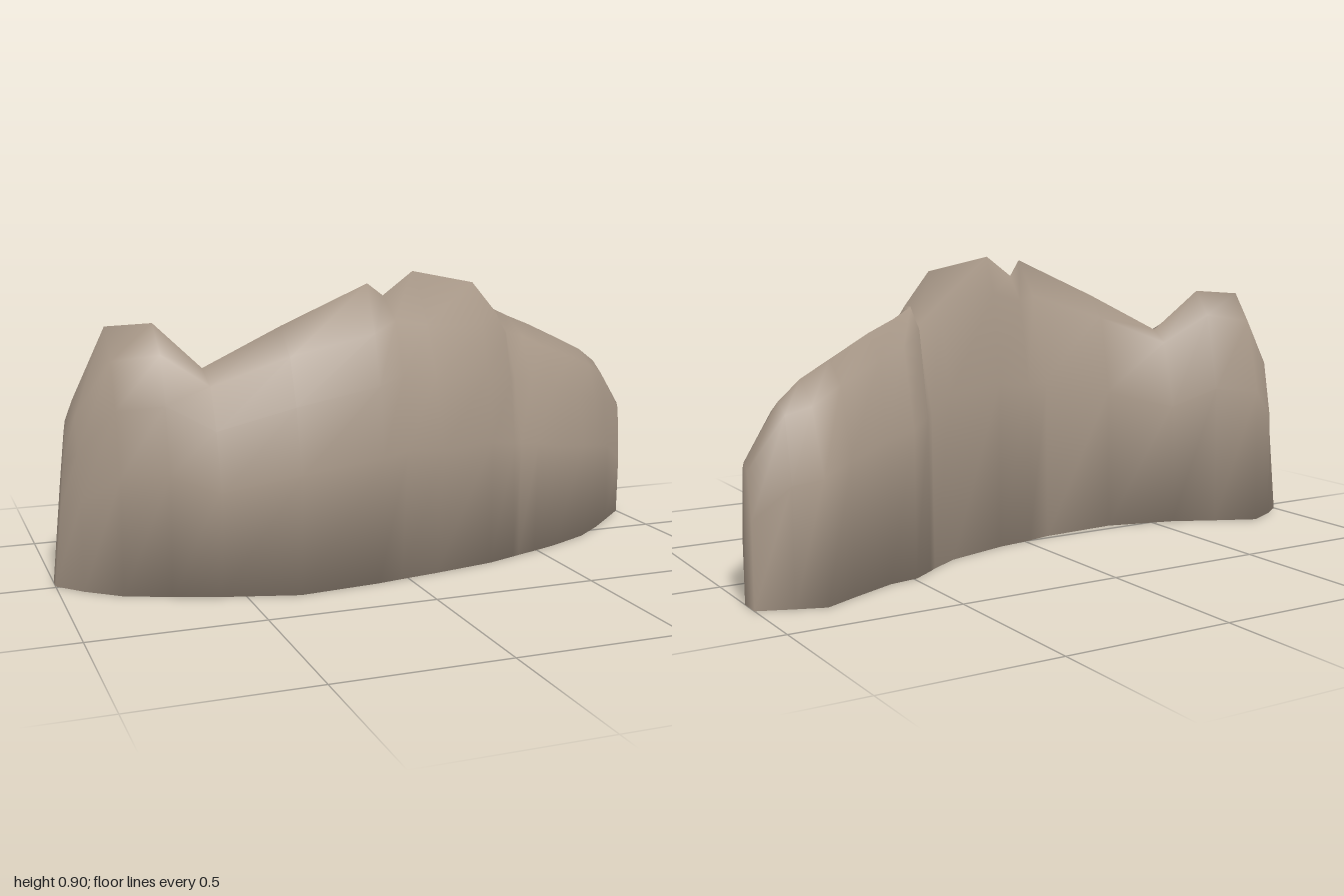
import * as THREE from 'three';

// Stations along the wall:
// x, front foot z, front belly z, back z, ridge y, ridge z, front shoulder y, back shoulder y
const STATIONS = [
  [-1.0, -0.01, -0.01, -0.05, 0.49, -0.03, 0.45, 0.45],
  [-0.93, 0.07, 0.07, -0.10, 0.55, -0.02, 0.51, 0.52],
  [-0.83, 0.155, 0.16, -0.15, 0.76, -0.02, 0.67, 0.67],
  [-0.70, 0.21, 0.225, -0.09, 0.77, 0.03, 0.69, 0.69],
  [-0.57, 0.26, 0.285, -0.025, 0.64, 0.09, 0.60, 0.60],
  [-0.35, 0.325, 0.335, 0.035, 0.76, 0.15, 0.68, 0.69],
  [-0.10, 0.30, 0.335, 0.02, 0.88, 0.20, 0.74, 0.77],
  [-0.02, 0.285, 0.325, 0.00, 0.835, 0.12, 0.77, 0.76],
  [0.10, 0.265, 0.31, -0.02, 0.90, 0.06, 0.75, 0.79],
  [0.30, 0.225, 0.225, -0.08, 0.86, 0.065, 0.74, 0.77],
  [0.395, 0.19, 0.185, -0.14, 0.76, 0.04, 0.70, 0.71],
  [0.42, 0.18, 0.18, -0.16, 0.765, -0.05, 0.70, 0.70],
  [0.49, 0.155, 0.16, -0.21, 0.735, -0.08, 0.68, 0.66],
  [0.58, 0.12, 0.135, -0.225, 0.70, -0.10, 0.64, 0.63],
  [0.72, 0.05, 0.045, -0.29, 0.64, -0.15, 0.59, 0.575],
  [0.82, -0.03, -0.03, -0.34, 0.595, -0.18, 0.55, 0.53],
  [0.90, -0.105, -0.11, -0.31, 0.545, -0.22, 0.51, 0.51],
  [1.0, -0.20, -0.20, -0.27, 0.39, -0.22, 0.37, 0.37],
];

// Cross-section from the front foot, over the ridge, to the back foot
function section([x, foot, zf, zb, ry, rz, fy, by]) {
  const mix = THREE.MathUtils.lerp;
  const lean = x < -0.99 ? 0.1 : 0; // left end slopes inward
  return [
    [foot, 0],
    [zf + 0.005, 0.52 * fy],
    [mix(zf, rz, 0.2), 0.8 * fy],
    [mix(zf, rz, 0.5), fy],
    [rz, ry],
    [mix(zb, rz, 0.5), by],
    [mix(zb, rz, 0.06), 0.65 * by],
    [zb, 0],
  ].map(([z, y]) => [x + lean * y, y, z]);
}

function createWallGeometry() {
  const rings = STATIONS.map(section);
  const n = rings[0].length;
  const index = [];

  // Skin and underside, smoothly joined
  for (let i = 0; i < rings.length - 1; i++) {
    for (let j = 0; j < n; j++) {
      const k = (j + 1) % n;
      const a = i * n + j, b = a + n, c = (i + 1) * n + k, d = i * n + k;
      index.push(a, b, c, a, c, d);
    }
  }

  // End caps
  const last = (rings.length - 1) * n;
  for (let j = 1; j < n - 1; j++) {
    index.push(0, j, j + 1);
    index.push(last, last + j + 1, last + j);
  }

  const geometry = new THREE.BufferGeometry();
  geometry.setAttribute('position', new THREE.Float32BufferAttribute(rings.flat(2), 3));
  geometry.setIndex(index);
  geometry.computeVertexNormals();
  return geometry;
}

export function createModel() {
  const stone = new THREE.MeshStandardMaterial({ color: 0xa89888 });
  stone.name = 'stone';

  const wall = new THREE.Mesh(createWallGeometry(), stone);
  wall.name = 'curvedRockWall';

  const model = new THREE.Group();
  model.name = 'rockRidge';
  model.add(wall);
  return model;
}
